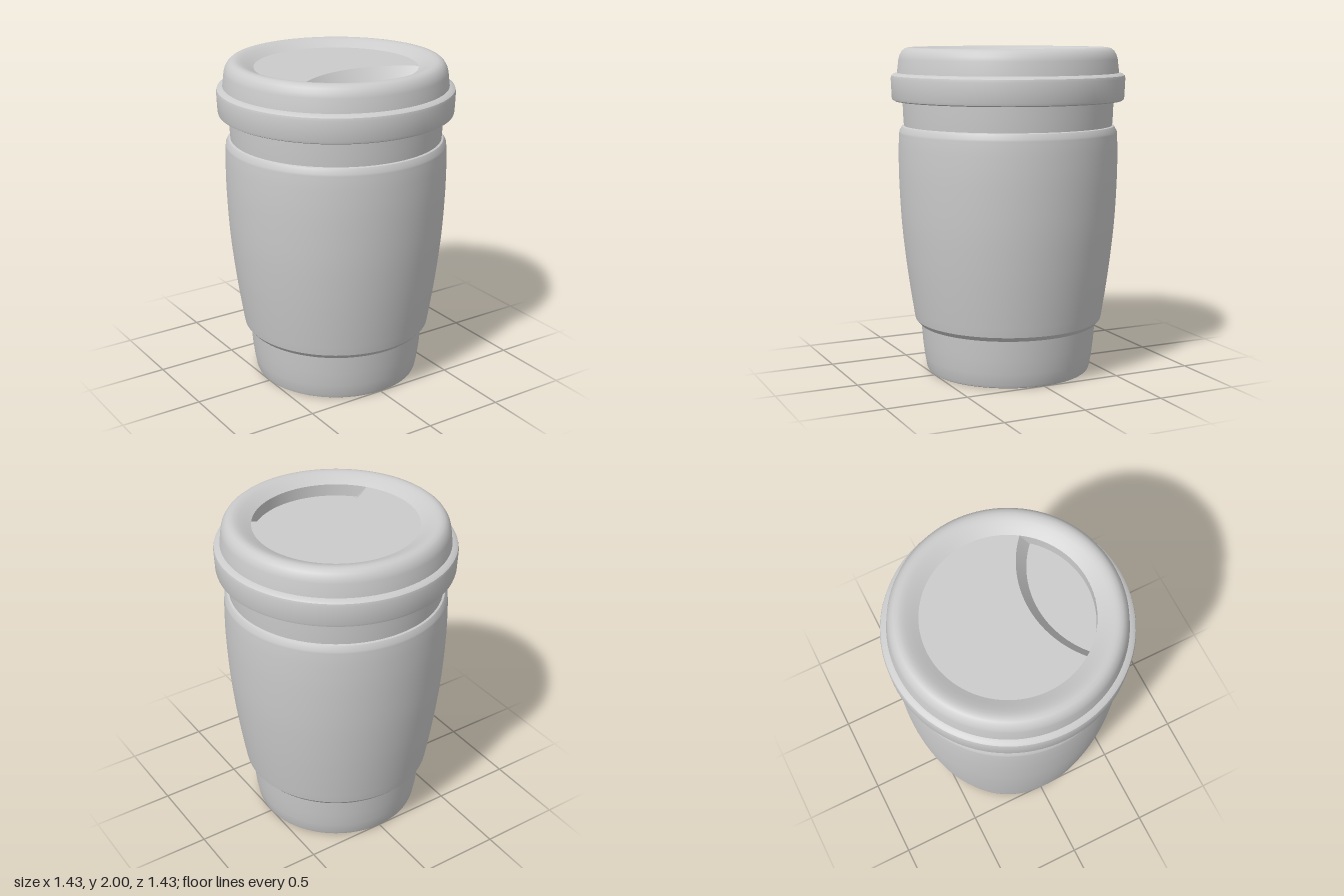
import * as THREE from 'three';
import { toCreasedNormals } from 'three/addons/utils/BufferGeometryUtils.js';

const SEGMENTS = 96;
const PANEL_Y = 1.955, FLOOR_Y = 1.88; // lid panel and sip recess floor
const PANEL_R = 0.49;
const ARC_Z = 0.725, ARC_TOP = 0.605, ARC_BOTTOM = 0.545; // curved back wall of the recess

const material = new THREE.MeshStandardMaterial({ color: 0xcccccc });

function mesh(name, geometry) {
  const m = new THREE.Mesh(geometry, material);
  m.name = name;
  return m;
}

// Turned part from a profile of [radius, height], listed bottom to top
function turned(name, profile) {
  const points = profile.map(([r, y]) => new THREE.Vector2(r, y));
  return mesh(name, toCreasedNormals(new THREE.LatheGeometry(points, SEGMENTS), 0.5));
}

// Smooth run of profile points through a few key points
function smoothRun(keys, n) {
  const curve = new THREE.SplineCurve(keys.map(([r, y]) => new THREE.Vector2(r, y)));
  return curve.getPoints(n).map(p => [p.x, p.y]);
}

// Angles at which the recess arc of radius R meets the panel circle
function meeting(R) {
  const z = (PANEL_R ** 2 - R ** 2 + ARC_Z ** 2) / (2 * ARC_Z);
  const x = Math.sqrt(PANEL_R ** 2 - z ** 2);
  return { onPanel: Math.atan2(z, x), onArc: Math.atan2(ARC_Z - z, x), halfTurn: Math.atan2(x, z) };
}

// Flat shape (its y is -z) laid at a height
function laid(name, shape, y) {
  const g = new THREE.ShapeGeometry(shape, SEGMENTS);
  g.rotateX(-Math.PI / 2).translate(0, y, 0);
  return mesh(name, g);
}

export function createModel() {
  const model = new THREE.Group();
  model.name = 'travelCup';

  // Cup wall: foot below the sleeve, neck above it
  model.add(turned('cup', [
    [0.497, 0], [0.505, 0.005], [0.511, 0.02], [0.524, 0.09], [0.535, 0.18],
    [0.545, 0.3], [0.638, 1.52], [0.643, 1.6], [0.645, 1.68],
  ]));
  const base = mesh('cupBase', new THREE.CircleGeometry(0.497, SEGMENTS));
  base.rotation.x = Math.PI / 2;
  model.add(base);

  // Bulging grip sleeve with chamfered ends
  model.add(turned('sleeve', [
    [0.54, 0.297], [0.556, 0.3], [0.58, 0.328],
    ...smoothRun([[0.586, 0.36], [0.612, 0.53], [0.638, 0.73], [0.66, 0.96],
      [0.672, 1.22], [0.672, 1.4], [0.667, 1.495]], 28),
    [0.65, 1.525], [0.636, 1.53],
  ]));

  // Lid: overhanging band, stepped shoulder and rounded rim
  const lid = new THREE.Group();
  lid.name = 'lid';
  lid.add(turned('lidRim', [
    [0.64, 1.68], [0.695, 1.68], [0.706, 1.686], [0.71, 1.7], [0.715, 1.815],
    [0.711, 1.832], [0.698, 1.842], [0.677, 1.848],
    [0.667, 1.93], [0.66, 1.955], [0.645, 1.98], [0.627, 1.995], [0.605, 2],
    [0.585, 1.998], [0.56, 1.99], [0.525, 1.973], [PANEL_R, PANEL_Y],
  ]));

  // Top panel, cut away at the front by an arc
  const top = meeting(ARC_TOP), bottom = meeting(ARC_BOTTOM);
  const panel = new THREE.Shape();
  panel.absarc(0, 0, PANEL_R, -top.onPanel, Math.PI + top.onPanel, false);
  panel.absarc(0, -ARC_Z, ARC_TOP, Math.PI - top.onArc, top.onArc, true);
  lid.add(laid('lidPanel', panel, PANEL_Y));

  // Lens-shaped floor of the sip recess
  const floor = new THREE.Shape();
  floor.absarc(0, 0, PANEL_R, Math.PI + bottom.onPanel, 2 * Math.PI - bottom.onPanel, false);
  floor.absarc(0, -ARC_Z, ARC_BOTTOM, bottom.onArc, Math.PI - bottom.onArc, false);
  lid.add(laid('recessFloor', floor, FLOOR_Y));

  // Sloping back wall, facing the drinker
  const half = Math.PI / 2 - top.onArc;
  const backWall = mesh('recessBackWall', new THREE.LatheGeometry(
    [new THREE.Vector2(ARC_TOP, PANEL_Y), new THREE.Vector2(ARC_BOTTOM, FLOOR_Y)],
    SEGMENTS / 2, Math.PI - half, 2 * half));
  backWall.position.z = ARC_Z;
  lid.add(backWall);

  // Upright front wall under the rim
  lid.add(mesh('recessFrontWall', new THREE.LatheGeometry(
    [new THREE.Vector2(PANEL_R, PANEL_Y), new THREE.Vector2(PANEL_R, FLOOR_Y)],
    SEGMENTS / 2, -top.halfTurn, 2 * top.halfTurn)));

  model.add(lid);
  return model;
}
